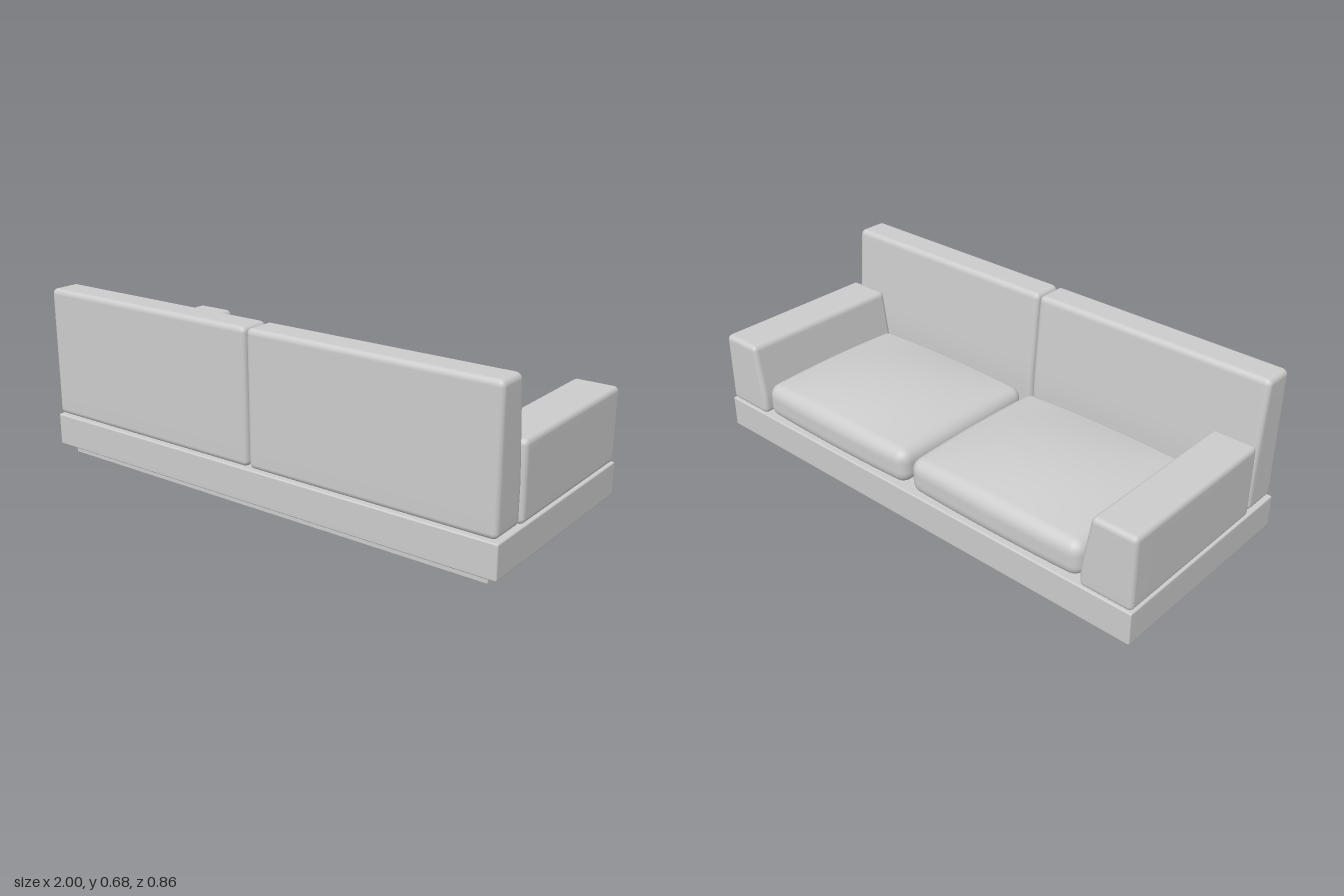
import * as THREE from 'three';
import { mergeVertices } from 'three/addons/utils/BufferGeometryUtils.js';

const material = new THREE.MeshStandardMaterial({ color: 0xcccccc });

// Rounded block spanning min..max; the optional rule reshapes each vertex.
// The rule receives the point p and its relative position u (-1..1 on each axis).
function softBlock(name, min, max, radius, rule) {
  const lo = new THREE.Vector3(...min);
  const hi = new THREE.Vector3(...max);
  const centre = lo.clone().add(hi).multiplyScalar(0.5);
  const half = hi.clone().sub(lo).multiplyScalar(0.5);
  const inner = half.clone().subScalar(radius);

  let geometry = new THREE.BoxGeometry(2, 2, 2, 16, 16, 16);
  geometry.deleteAttribute('uv');
  geometry.deleteAttribute('normal');
  geometry = mergeVertices(geometry);

  const pos = geometry.attributes.position;
  const p = new THREE.Vector3();
  const offset = new THREE.Vector3();
  for (let i = 0; i < pos.count; i++) {
    p.fromBufferAttribute(pos, i);
    // Half of the grid lines serve the flat middle, the rest the rounded rim
    for (const a of ['x', 'y', 'z']) {
      const t = Math.abs(p[a]);
      const s = Math.sign(p[a]);
      offset[a] = s * Math.max(0, t - 0.5) * 2;
      p[a] = s * Math.min(1, t * 2) * inner[a];
    }
    p.addScaledVector(offset.normalize(), radius);
    const u = p.clone().divide(half);
    p.add(centre);
    if (rule) rule(p, u);
    pos.setXYZ(i, p.x, p.y, p.z);
  }
  geometry.computeVertexNormals();
  const mesh = new THREE.Mesh(geometry, material);
  mesh.name = name;
  return mesh;
}

// Amount of lean at relative height v: upright low down, sloping above
const lean = (v, start) => Math.max(0, (v - start) / (1 - start));

export function createModel() {
  const sofa = new THREE.Group();
  sofa.name = 'sofa';

  // Recessed plinth and base platform
  const plinth = new THREE.Mesh(new THREE.BoxGeometry(1.9, 0.04, 0.78), material);
  plinth.name = 'plinth';
  plinth.position.y = 0.02;
  sofa.add(plinth);
  sofa.add(softBlock('base', [-1, 0.035, -0.43], [1, 0.163, 0.43], 0.006));

  for (const [label, s] of [['left', 1], ['right', -1]]) {
    const span = (a, b) => (s > 0 ? [a, b] : [-b, -a]);

    // Armrest, its inner side sloping outwards towards the top
    const [ax0, ax1] = span(0.788, 0.997);
    sofa.add(softBlock(`${label}Armrest`, [ax0, 0.163, -0.428], [ax1, 0.45, 0.27], 0.02, (p, u) => {
      p.x += s * 0.036 * lean(u.y, -0.5) * (1 - s * u.x) / 2;
    }));

    // Backrest, its seat side sloping backwards towards the top
    const [bx0, bx1] = span(0.003, 0.992);
    sofa.add(softBlock(`${label}Backrest`, [bx0, 0.168, 0.273], [bx1, 0.68, 0.43], 0.022, (p, u) => {
      p.z += 0.032 * lean(u.y, -0.4) * (1 - u.z) / 2;
    }));

    // Domed seat cushion with gently bowed sides
    const [cx0, cx1] = span(0.014, 0.779);
    sofa.add(softBlock(`${label}SeatCushion`, [cx0, 0.163, -0.42], [cx1, 0.3, 0.246], 0.045, (p, u) => {
      p.x += 0.007 * u.x * (1 - u.z * u.z);
      p.z += 0.009 * u.z * (1 - u.x * u.x);
      p.y += 0.045 * Math.max(0, u.y) * (1 - u.x * u.x) * (1 - u.z * u.z);
    }));
  }
  return sofa;
}
